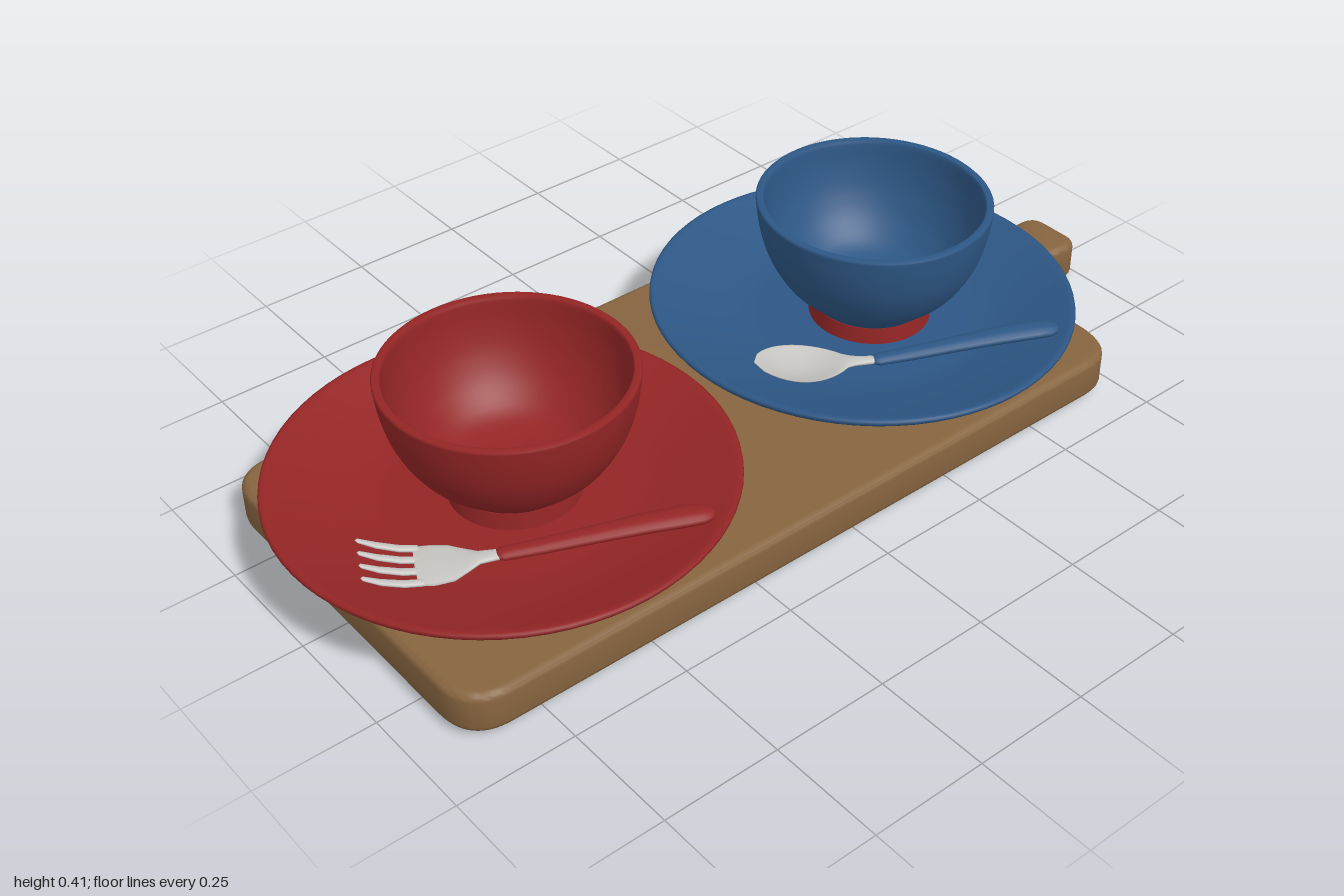
import * as THREE from 'three';
import { toCreasedNormals } from 'three/addons/utils/BufferGeometryUtils.js';

const material = (name, color) => {
  const m = new THREE.MeshStandardMaterial({ color });
  m.name = name;
  return m;
};

function part(name, geometry, mat) {
  const mesh = new THREE.Mesh(geometry, mat);
  mesh.name = name;
  return mesh;
}

const lathe = (points) =>
  new THREE.LatheGeometry(points.map(([r, y]) => new THREE.Vector2(r, y)), 72);

const spline = (points, n) =>
  new THREE.SplineCurve(points.map(([x, y]) => new THREE.Vector2(x, y))).getPoints(n).map((p) => [p.x, p.y]);

// Lofts oval sections [x, y, z, halfWidth, halfHeight, cup] running along x
function loft(sections, sides = 16) {
  const pos = [], index = [];
  sections.forEach(([x, y, z, w, h, cup = 0], i) => {
    for (let j = 0; j < sides; j++) {
      const t = (j / sides) * Math.PI * 2;
      const c = Math.cos(t);
      pos.push(x, y + h * Math.sin(t) + cup * c * c, z + w * c);
      if (i < sections.length - 1) {
        const k = (j + 1) % sides, a = i * sides, b = a + sides;
        index.push(a + j, b + j, b + k, a + j, b + k, a + k);
      }
    }
  });
  const g = new THREE.BufferGeometry();
  g.setAttribute('position', new THREE.Float32BufferAttribute(pos, 3));
  g.setIndex(index);
  g.computeVertexNormals();
  return g;
}

// Serving board with a waisted grip, bevelled all round
function boardGeometry() {
  const bevel = 0.016;
  const s = new THREE.Shape();
  s.moveTo(-0.82, -0.4);
  s.lineTo(0.65, -0.4);
  s.bezierCurveTo(0.72, -0.4, 0.73, -0.35, 0.73, -0.29);
  s.bezierCurveTo(0.73, -0.16, 0.74, -0.045, 0.84, -0.042);
  s.bezierCurveTo(0.9, -0.042, 0.91, -0.057, 0.955, -0.057);
  s.quadraticCurveTo(0.98, -0.057, 0.98, -0.035);
  s.lineTo(0.98, 0.035);
  s.quadraticCurveTo(0.98, 0.057, 0.955, 0.057);
  s.bezierCurveTo(0.91, 0.057, 0.9, 0.042, 0.84, 0.042);
  s.bezierCurveTo(0.74, 0.045, 0.73, 0.16, 0.73, 0.29);
  s.bezierCurveTo(0.73, 0.35, 0.72, 0.4, 0.65, 0.4);
  s.lineTo(-0.82, 0.4);
  s.quadraticCurveTo(-0.898, 0.4, -0.898, 0.32);
  s.lineTo(-0.898, -0.32);
  s.quadraticCurveTo(-0.898, -0.4, -0.82, -0.4);
  const g = new THREE.ExtrudeGeometry(s, {
    depth: 0.09 - 2 * bevel, bevelThickness: bevel, bevelSize: bevel,
    bevelSegments: 4, curveSegments: 14,
  });
  g.rotateX(-Math.PI / 2).translate(0, 0.01 + bevel, 0);
  // The grip droops slightly
  const p = g.attributes.position;
  for (let i = 0; i < p.count; i++) {
    p.setY(i, p.getY(i) - 0.01 * THREE.MathUtils.smoothstep(p.getX(i), 0.74, 0.96));
  }
  return toCreasedNormals(g, 0.6);
}

function plateGeometry() {
  return lathe([
    [0, 0.1], [0.27, 0.1],
    ...spline([[0.285, 0.101], [0.36, 0.118], [0.42, 0.145], [0.453, 0.168]], 10),
    [0.458, 0.175], [0.457, 0.181], [0.452, 0.183], [0.443, 0.181],
    ...spline([[0.435, 0.178], [0.36, 0.153], [0.29, 0.133], [0.245, 0.126]], 10),
    [0.23, 0.125], [0, 0.125],
  ]);
}

function bowlGeometry() {
  return lathe([
    [0, 0.15], [0.11, 0.15],
    ...spline([[0.125, 0.16], [0.15, 0.183], [0.192, 0.225], [0.226, 0.285], [0.243, 0.345], [0.25, 0.398]], 24),
    [0.25, 0.402], [0.247, 0.405], [0.236, 0.405], [0.233, 0.402],
    ...spline([[0.232, 0.395], [0.225, 0.345], [0.207, 0.288], [0.172, 0.232], [0.115, 0.19], [0, 0.176]], 24),
  ]);
}

// Shared grip of both utensils, with rounded ends
const handleGeometry = () => loft([
  [0.245, 0.168, 0, 0, 0], [0.247, 0.168, 0, 0.012, 0.007], [0.26, 0.168, 0, 0.017, 0.011],
  [0.33, 0.172, 0, 0.019, 0.012], [0.42, 0.18, 0, 0.022, 0.013], [0.52, 0.188, 0, 0.026, 0.014],
  [0.6, 0.191, 0, 0.028, 0.014], [0.63, 0.19, 0, 0.025, 0.013], [0.648, 0.189, 0, 0.016, 0.009],
  [0.655, 0.189, 0, 0, 0],
]);

function fork(metal, grip) {
  const g = new THREE.Group();
  g.name = 'fork';
  g.add(part('forkHead', loft([
    [0.098, 0.17, 0, 0, 0], [0.1, 0.17, 0, 0.054, 0.005], [0.13, 0.166, 0, 0.056, 0.006],
    [0.165, 0.164, 0, 0.05, 0.006], [0.19, 0.165, 0, 0.034, 0.006], [0.215, 0.167, 0, 0.017, 0.007],
    [0.265, 0.168, 0, 0.012, 0.007],
  ]), metal));
  // Four tapering, upturned tines
  for (let i = 0; i < 4; i++) {
    const z = (i - 1.5) * 0.031;
    g.add(part('tine', loft([
      [0, 0.207, z * 1.12, 0, 0], [0.004, 0.205, z * 1.12, 0.005, 0.004],
      [0.035, 0.189, z * 1.1, 0.008, 0.005], [0.075, 0.175, z * 1.05, 0.009, 0.005],
      [0.11, 0.169, z, 0.009, 0.005],
    ], 10), metal));
  }
  g.add(part('forkHandle', handleGeometry(), grip));
  return g;
}

function spoon(metal, grip) {
  const g = new THREE.Group();
  g.name = 'spoon';
  const sections = [];
  // Oval scoop, then a narrow neck
  for (let i = 0; i <= 14; i++) {
    const u = i / 14;
    const w = 0.066 * Math.pow(Math.sin(Math.PI * Math.pow(u * 0.93, 0.88)), 0.62);
    const dip = Math.sin(Math.PI * u);
    sections.push([-0.008 + 0.195 * u, 0.201 - 0.026 * u - 0.024 * dip, 0, w, i ? 0.005 : 0, 0.02 * dip]);
  }
  sections.push([0.205, 0.172, 0, 0.016, 0.007], [0.23, 0.169, 0, 0.012, 0.007], [0.265, 0.168, 0, 0.012, 0.007]);
  g.add(part('spoonHead', loft(sections, 24), metal));
  g.add(part('spoonHandle', handleGeometry(), grip));
  return g;
}

function placeSetting(name, x, colour, footColour, utensil) {
  const g = new THREE.Group();
  g.name = name;
  g.add(part('plate', plateGeometry(), colour));
  const bowl = new THREE.Group();
  bowl.name = 'bowl';
  bowl.position.x = 0.027;
  bowl.add(part('bowlBody', bowlGeometry(), colour));
  bowl.add(part('bowlFoot', new THREE.CylinderGeometry(0.128, 0.132, 0.04, 64).translate(0, 0.141, 0), footColour));
  g.add(bowl);
  utensil.position.set(-0.362, 0, 0.072);
  utensil.rotation.y = -0.464;
  g.add(utensil);
  g.position.x = x;
  return g;
}

export function createModel() {
  const wood = material('wood', 0x86643f);
  const red = material('red glaze', 0x942525);
  const blue = material('blue glaze', 0x2d5785);
  const metal = material('metal', 0xc4c3bf);

  const model = new THREE.Group();
  model.name = 'servingBoardSet';
  model.add(part('board', boardGeometry(), wood));
  model.add(placeSetting('redSetting', -0.542, red, red, fork(metal, red)));
  const blueSetting = placeSetting('blueSetting', 0.383, blue, red, spoon(metal, blue));
  blueSetting.scale.x = 0.967;
  model.add(blueSetting);
  return model;
}
